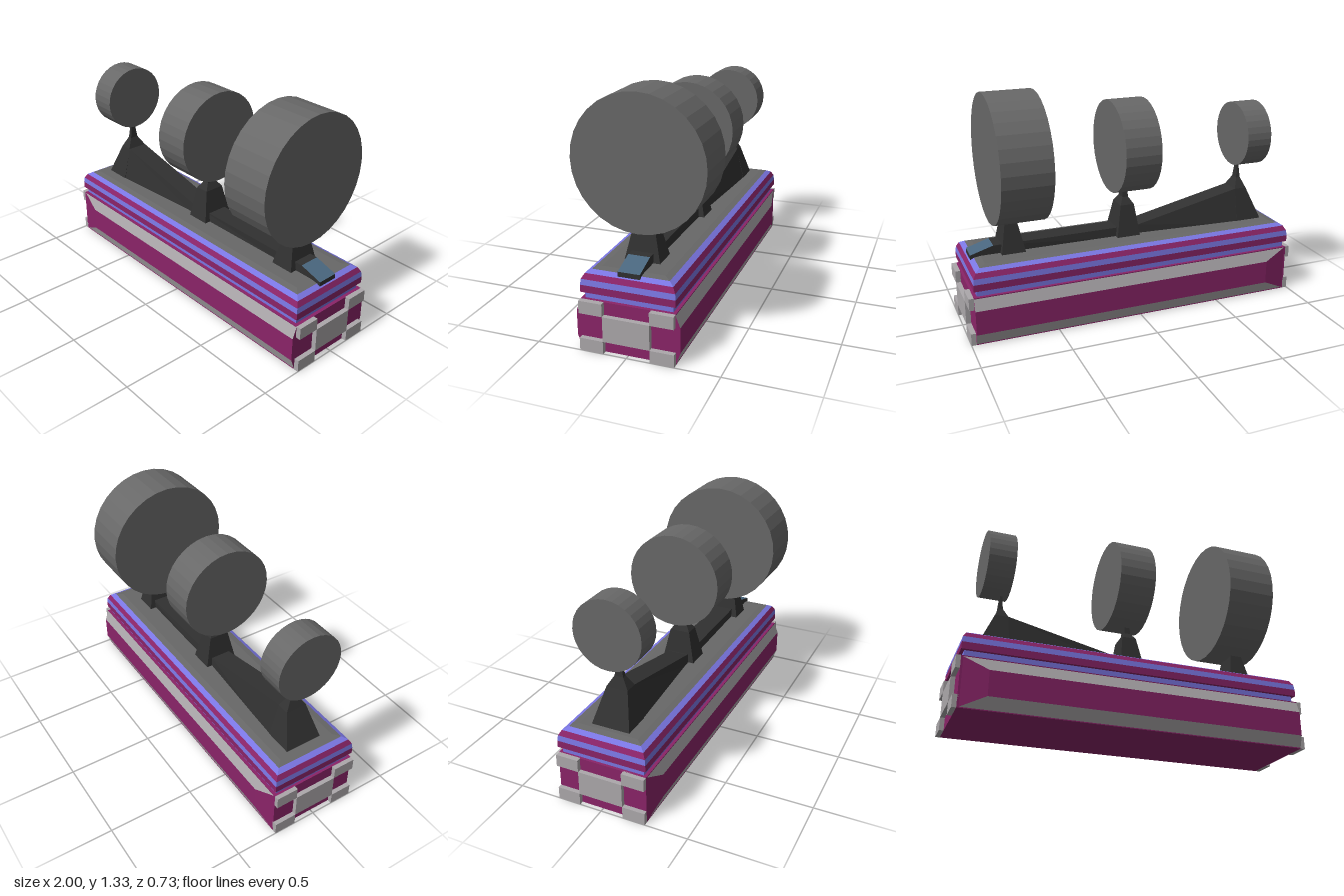
import * as THREE from 'three';

const paint = (name, color) => {
  const m = new THREE.MeshStandardMaterial({ color });
  m.name = name;
  return m;
};

// Rectangular cross-sections, ordered for lofting along each axis
const ringY = (y, x0, x1, z) => [[x0, y, z], [x1, y, z], [x1, y, -z], [x0, y, -z]];
const ringX = (x, y0, y1, zLow, zTop) => [[x, y0, zLow], [x, y0, -zLow], [x, y1, -zTop], [x, y1, zTop]];
const ringZ = (z, x0, x1, y0, y1) => {
  const r = [[x0, y0, z], [x1, y0, z], [x1, y1, z], [x0, y1, z]];
  return z < 0 ? r.reverse() : r;
};

// Joins four-cornered rings into a closed, flat-faced solid.
// Material groups: 0-3 are the four sides, 4 the first cap, 5 the last cap.
function loft(rings) {
  const pos = [];
  const geo = new THREE.BufferGeometry();
  const quad = (a, b, c, d, group) => {
    geo.addGroup(pos.length / 3, 6, group);
    pos.push(...a, ...b, ...c, ...a, ...c, ...d);
  };
  for (let k = 0; k < rings.length - 1; k++) {
    const a = rings[k], b = rings[k + 1];
    for (let i = 0; i < 4; i++) {
      const j = (i + 1) % 4;
      quad(a[i], a[j], b[j], b[i], i);
    }
  }
  const [f, l] = [rings[0], rings[rings.length - 1]];
  quad(f[3], f[2], f[1], f[0], 4);
  quad(l[0], l[1], l[2], l[3], 5);
  geo.setAttribute('position', new THREE.Float32BufferAttribute(pos, 3));
  geo.computeVertexNormals();
  return geo;
}

export function createModel() {
  const model = new THREE.Group();
  const magenta = paint('magenta', 0x8a2468);
  const silver = paint('silver', 0xaca8ab);
  const blue = paint('periwinkle', 0x7a76e2);
  const grey = paint('grey', 0x686868);
  const dark = paint('charcoal', 0x313131);
  const slate = paint('slate', 0x4a677f);

  const add = (name, geo, mat) => {
    const mesh = new THREE.Mesh(geo, mat);
    mesh.name = name;
    model.add(mesh);
    return mesh;
  };

  // Base block
  add('baseBody', loft([ringY(0, -0.975, 0.972, 0.258), ringY(0.28, -0.975, 0.972, 0.258)]), magenta);

  // Bevelled side panels: silver slopes above and below, magenta face and tapered end
  for (const s of [1, -1]) {
    add('sidePanel', loft([
      ringZ(s * 0.256, -0.975, 0.972, 0, 0.28),
      ringZ(s * 0.282, -0.83, 0.972, 0.07, 0.21),
    ]), [silver, magenta, silver, magenta, magenta, magenta]);
  }

  // Raised blocks in a checker on both ends
  for (const s of [1, -1]) {
    for (const [y, z, h, d] of [
      [0.035, 0.193, 0.07, 0.13], [0.035, -0.193, 0.07, 0.13],
      [0.245, 0.193, 0.07, 0.13], [0.245, -0.193, 0.07, 0.13],
      [0.14, 0, 0.14, 0.256],
    ]) {
      add('endBlock', new THREE.BoxGeometry(0.03, h, d), silver).position.set(s * 0.985, y, z);
    }
  }

  // Striped cap, stacked in bands: [y0, inset0, y1, inset1, colour]
  const bands = [
    [0.28, 0.018, 0.316, 0.018, blue],
    [0.316, 0, 0.355, 0, magenta],
    [0.355, 0, 0.387, 0.004, blue],
    [0.387, 0.004, 0.415, 0.02, magenta],
    [0.415, 0.02, 0.43, 0.048, blue],
    [0.43, 0.048, 0.436, 0.085, grey],
  ];
  for (const [y0, i0, y1, i1, mat] of bands) {
    const ring = (y, i) => ringY(y, -0.978 + i, 0.97 - i, 0.258 - i);
    add('capBand', loft([ring(y0, i0), ring(y1, i1)]), mat);
  }

  // Long spine running along the cap, with a sloped slate tip
  add('spine', loft([
    ringX(-0.71, 0.42, 0.63, 0.112, 0.062),
    ringX(-0.06, 0.42, 0.486, 0.068, 0.06),
    ringX(0.81, 0.42, 0.486, 0.06, 0.06),
  ]), dark);
  add('spineTip', loft([
    ringX(0.81, 0.417, 0.486, 0.06, 0.06),
    ringX(0.942, 0.417, 0.446, 0.06, 0.06),
  ]), [dark, dark, slate, dark, dark, dark]);

  // Pedestals holding the discs
  add('smallPedestal', loft([
    ringY(0.43, -0.87, -0.705, 0.112),
    ringY(0.63, -0.785, -0.71, 0.062),
    ringY(0.69, -0.762, -0.737, 0.025),
    ringY(0.79, -0.754, -0.744, 0.01),
  ]), dark);
  add('middlePedestal', loft([
    ringY(0.43, -0.06, 0.083, 0.1),
    ringY(0.62, -0.035, 0.048, 0.06),
    ringY(0.66, -0.01, 0.025, 0.03),
    ringY(0.72, -0.008, 0.023, 0.02),
  ]), dark);
  add('largePedestal', loft([
    ringY(0.43, 0.633, 0.773, 0.1),
    ringY(0.62, 0.672, 0.738, 0.058),
  ]), dark);

  // Three upright discs: [name, x0, x1, radius]
  const discMat = grey;
  for (const [name, x0, x1, r] of [
    ['smallDisc', -0.865, -0.71, 0.194],
    ['middleDisc', -0.12, 0.095, 0.27],
    ['largeDisc', 0.53, 0.815, 0.365],
  ]) {
    const geo = new THREE.CylinderGeometry(r, r, x1 - x0, 32).rotateZ(Math.PI / 2).toNonIndexed();
    geo.computeVertexNormals();
    add(name, geo, discMat).position.set((x0 + x1) / 2, 0.968, 0);
  }

  return model;
}
